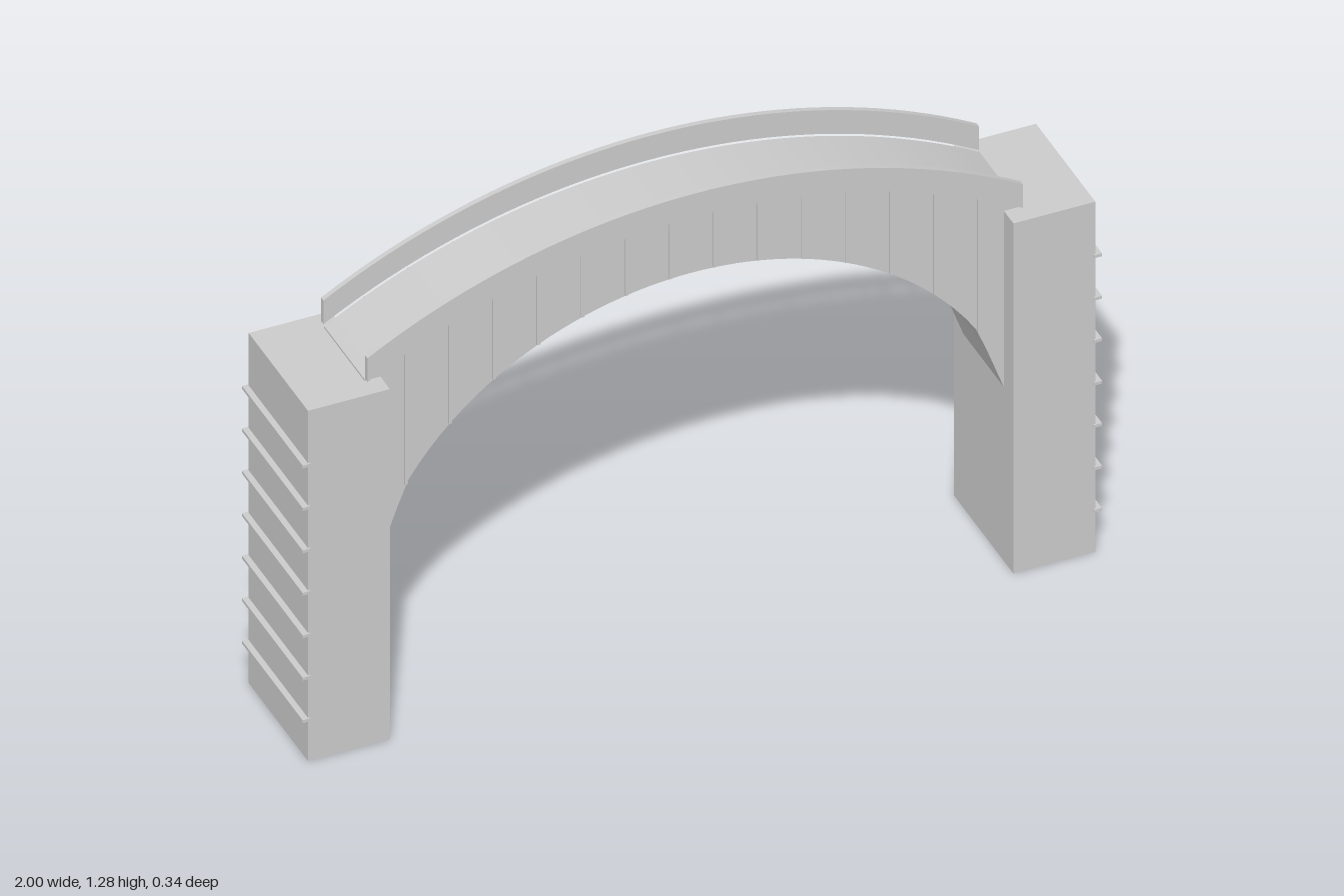
import * as THREE from 'three';

const stone = new THREE.MeshStandardMaterial({ color: 0xcccccc });
const HALF = 0.82; // half length of the deck

// Road surface: a shallow circular crown
const deckY = (x) => 1.215 - (1.638 - Math.sqrt(1.638 ** 2 - x * x));

// Underside: an ellipse that runs straight into the piers
function soffitY(x) {
  const a = Math.abs(x);
  if (a > 0.717) return 0.665 - (a - 0.717) * 2.75;
  return 1.05 - 0.76 * (1 - Math.sqrt(1 - (a / 0.825) ** 2));
}

// Upright slab between two curves, from z0 to z1
function slab(name, lower, upper, z0, z1, steps) {
  const xs = Array.from({ length: steps + 1 }, (_, i) => -HALF + (2 * HALF * i) / steps);
  const outline = [
    ...xs.map((x) => new THREE.Vector2(x, lower(x))),
    ...xs.reverse().map((x) => new THREE.Vector2(x, upper(x))),
  ];
  const geometry = new THREE.ExtrudeGeometry(new THREE.Shape(outline), { depth: z1 - z0, bevelEnabled: false });
  geometry.translate(0, 0, z0);
  const mesh = new THREE.Mesh(geometry, stone);
  mesh.name = name;
  return mesh;
}

function box(name, w, h, d, x, y, z) {
  const mesh = new THREE.Mesh(new THREE.BoxGeometry(w, h, d), stone);
  mesh.name = name;
  mesh.position.set(x, y, z);
  return mesh;
}

export function createModel() {
  const bridge = new THREE.Group();
  bridge.name = 'archBridge';

  // Arched span
  bridge.add(slab('archSpan', soffitY, deckY, -0.112, 0.112, 60));

  for (const side of [-1, 1]) {
    const sideName = side > 0 ? 'left' : 'right';

    // End pier with horizontal courses on its outer face
    const pier = new THREE.Group();
    pier.name = sideName + 'Pier';
    pier.add(box('pierBlock', 0.205, 0.99, 0.33, side * 0.8825, 0.495, 0));
    for (let i = 1; i <= 7; i++) {
      pier.add(box('courseBar', 0.02, 0.008, 0.338, side * 0.99, i * 0.12 - 0.002, 0));
    }
    bridge.add(pier);

    // Parapet standing just outside the span
    const face = side > 0 ? 'front' : 'back';
    const z = side * 0.1225;
    bridge.add(slab(face + 'Parapet', (x) => deckY(x) + 0.003, (x) => deckY(x) + 0.07, z - 0.0065, z + 0.0065, 40));

    // Thin vertical ribs on the spandrel face
    const ribs = new THREE.Group();
    ribs.name = face + 'Ribs';
    for (let i = 0; i < 14; i++) {
      const x = (i - 6.5) * 0.1103;
      const low = soffitY(x) + 0.003;
      const high = deckY(x) - 0.004;
      ribs.add(box('rib', 0.008, high - low, 0.01, x, (low + high) / 2, side * 0.112));
    }
    bridge.add(ribs);
  }
  return bridge;
}
